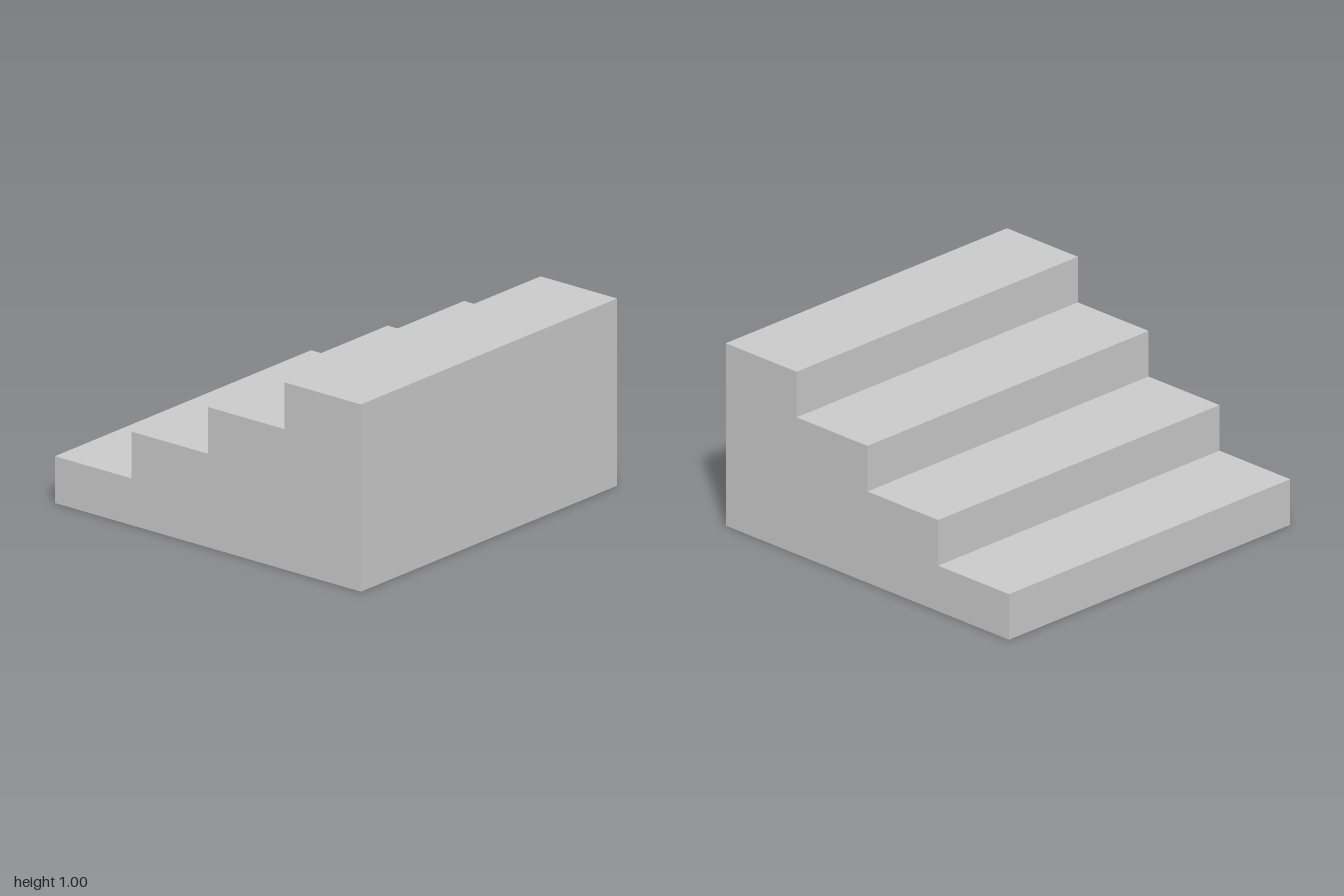
import * as THREE from 'three';

const STEPS = 4;
const RUN = 0.5; // tread depth
const RISE = 0.25; // riser height
const WIDTH = 2;

export function createModel() {
  const group = new THREE.Group();
  group.name = 'staircase';

  // Stepped side profile, climbing towards +x
  const profile = new THREE.Shape();
  profile.moveTo(-1, 0);
  profile.lineTo(1, 0);
  profile.lineTo(1, STEPS * RISE);
  for (let i = STEPS - 1; i >= 0; i--) {
    const x = -1 + i * RUN;
    profile.lineTo(x, (i + 1) * RISE);
    if (i > 0) profile.lineTo(x, i * RISE);
  }
  profile.closePath();

  // Solid flight of steps, extruded across its width
  const geometry = new THREE.ExtrudeGeometry(profile, { depth: WIDTH, bevelEnabled: false });
  geometry.translate(0, 0, -WIDTH / 2);
  const material = new THREE.MeshStandardMaterial({ color: 0xcccccc, flatShading: true });
  const steps = new THREE.Mesh(geometry, material);
  steps.name = 'steps';
  group.add(steps);

  return group;
}
